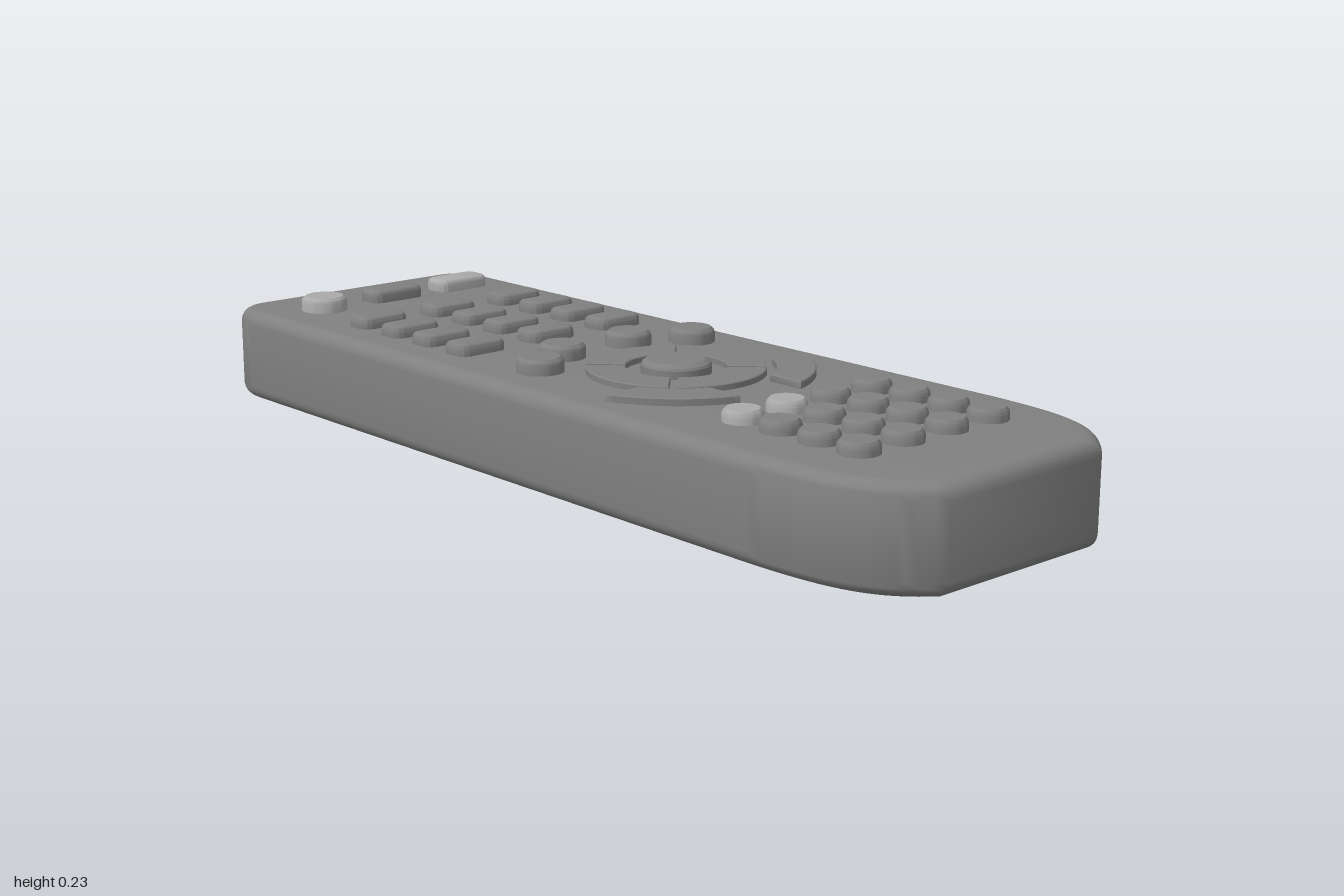
import * as THREE from 'three';
import { toCreasedNormals } from 'three/addons/utils/BufferGeometryUtils.js';

const DECK = 0.2; // height of the keypad face
const dark = new THREE.MeshStandardMaterial({ color: 0x808080 });
const light = new THREE.MeshStandardMaterial({ color: 0xaaaaaa });

// Extrudes a plan shape (shape y = world z) between two heights with rounded edges.
function slab(shape, bottom, top, bevel, bevelSegments) {
  const geo = new THREE.ExtrudeGeometry(shape, {
    depth: top - bottom - 2 * bevel, curveSegments: 16,
    bevelThickness: bevel, bevelSize: bevel, bevelOffset: -bevel, bevelSegments,
  });
  geo.rotateX(Math.PI / 2).translate(0, top - bevel, 0);
  return toCreasedNormals(geo, 0.7);
}

function roundedRect(w, h, r) {
  const s = new THREE.Shape();
  const x = w / 2 - r, y = h / 2 - r;
  s.absarc(x, y, r, 0, Math.PI / 2);
  s.absarc(-x, y, r, Math.PI / 2, Math.PI);
  s.absarc(-x, -y, r, Math.PI, Math.PI * 1.5);
  s.absarc(x, -y, r, Math.PI * 1.5, Math.PI * 2);
  s.closePath();
  return s;
}

// Ring slice whose outer and inner edges have their own start and end angles.
function ringSlice(ro, o0, o1, ri, i0, i1) {
  const s = new THREE.Shape();
  s.absarc(0, 0, ro, o0, o1, false);
  s.absarc(0, 0, ri, i1, i0, true);
  s.closePath();
  return s;
}

// Round key with a chamfered rim and flat top.
function roundKey(r, top) {
  const profile = [[r, DECK - 0.01], [r, top - 0.011], [r * 0.96, top - 0.006],
    [r * 0.82, top], [0, top]].map(([x, y]) => new THREE.Vector2(x, y));
  return toCreasedNormals(new THREE.LatheGeometry(profile, 32), 0.5);
}

export function createModel() {
  const model = new THREE.Group();
  const add = (name, geo, x = 0, z = 0, mat = dark) => {
    const mesh = new THREE.Mesh(geo, mat);
    mesh.name = name;
    mesh.position.set(x, 0, z);
    model.add(mesh);
    return mesh;
  };

  // Casing: rounded far corners, long taper at the near end
  const outline = new THREE.Shape();
  outline.moveTo(-0.25, -1);
  outline.lineTo(0.25, -1);
  outline.quadraticCurveTo(0.325, -0.995, 0.33, -0.91);
  outline.lineTo(0.33, 0.66);
  outline.bezierCurveTo(0.325, 0.84, 0.305, 0.93, 0.2, 1);
  outline.lineTo(-0.2, 1);
  outline.bezierCurveTo(-0.305, 0.93, -0.325, 0.84, -0.33, 0.66);
  outline.lineTo(-0.33, -0.91);
  outline.quadraticCurveTo(-0.325, -0.995, -0.25, -1);
  add('casing', slab(outline, 0, DECK, 0.03, 5));

  // Top row
  const columns = [-0.19, -0.005, 0.18];
  const wideKey = slab(roundedRect(0.135, 0.07, 0.022), DECK - 0.02, 0.228, 0.012, 3);
  add('powerKey', roundKey(0.05, 0.232), columns[0], -0.82, light);
  add('modeKey', wideKey, columns[1], -0.825);
  add('sourceKey', wideKey, columns[2], -0.825, light);

  // Number pad
  const numberKey = slab(roundedRect(0.118, 0.07, 0.022), DECK - 0.02, 0.225, 0.012, 3);
  for (const z of [-0.615, -0.5, -0.39, -0.275]) {
    for (const x of columns) add('numberKey', numberKey, x, z);
  }

  // Four round keys arched above the navigation ring
  const archKey = roundKey(0.048, 0.231);
  for (const [x, z] of [[-0.202, -0.05], [-0.092, -0.115], [0.085, -0.115], [0.204, -0.05]]) {
    add('archKey', archKey, x, z);
  }

  // Navigation ring in four quarters around the centre key
  const cx = -0.005, cz = 0.13, q = Math.PI / 4, gap = 0.007;
  const quarter = slab(ringSlice(0.178, -q + gap / 0.178, q - gap / 0.178,
    0.1, -q + gap / 0.1, q - gap / 0.1), DECK - 0.01, 0.213, 0.002, 1);
  for (let i = 0; i < 4; i++) {
    add('navigationQuarter', quarter, cx, cz).rotation.y = i * Math.PI / 2;
  }
  add('centreKey', roundKey(0.07, 0.227), cx, cz);

  // Curved side keys, cut straight at both ends
  const ro = 0.274, ri = 0.197, endX = 0.08, endZ = 0.088;
  const angles = [Math.asin(endZ / ro), Math.acos(endX / ro),
    Math.asin(endZ / ri), Math.acos(endX / ri)];
  for (const side of [1, -1]) {
    const [o0, o1, i0, i1] = side > 0 ? angles
      : [Math.PI - angles[1], Math.PI - angles[0], Math.PI - angles[3], Math.PI - angles[2]];
    add(side > 0 ? 'leftCurvedKey' : 'rightCurvedKey',
      slab(ringSlice(ro, o0, o1, ri, i0, i1), DECK - 0.01, 0.215, 0.002, 1), cx, cz);
  }

  // Lower grid of small round keys, two of them light
  const smallKey = roundKey(0.039, 0.225);
  [0.487, 0.582, 0.677, 0.77].forEach((z, row) => {
    [-0.171, -0.059, 0.056, 0.169].forEach((x, col) => {
      add('smallKey', smallKey, x, z, row === 0 && col < 2 ? light : dark);
    });
  });

  return model;
}
